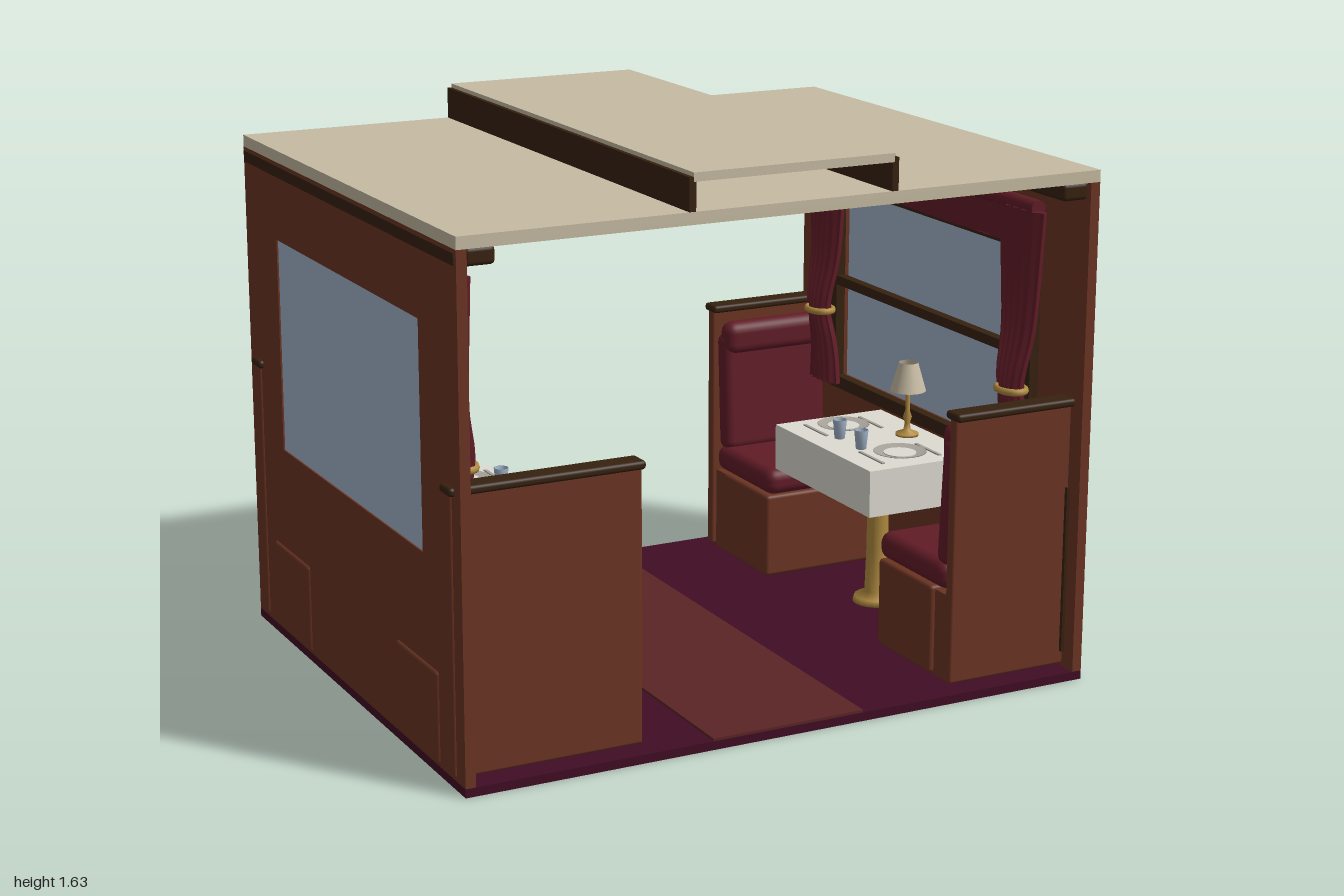
import * as THREE from 'three';
import { RoundedBoxGeometry } from 'three/addons/geometries/RoundedBoxGeometry.js';

const mat = (name, color, side = THREE.FrontSide) => {
  const m = new THREE.MeshStandardMaterial({ color, side });
  m.name = name;
  return m;
};

export function createModel() {
  const wood = mat('mahogany', 0x6b3422);
  const dark = mat('darkWood', 0x36210f);
  const cream = mat('cream', 0xc6baa2, THREE.DoubleSide);
  const carpet = mat('carpet', 0x400d24);
  const rug = mat('aisleRunner', 0x5a2425);
  const maroon = mat('maroonFabric', 0x611c27);
  const glass = mat('glass', 0xa3b5cc, THREE.DoubleSide);
  const linen = mat('linen', 0xdedbd2);
  const brass = mat('brass', 0xb08a40);
  const silver = mat('silver', 0xa8a49c, THREE.DoubleSide);

  const model = new THREE.Group();
  model.name = 'diningCarriage';

  const add = (name, geo, m, x = 0, y = 0, z = 0, parent = model) => {
    const mesh = new THREE.Mesh(geo, m);
    mesh.name = name;
    mesh.position.set(x, y, z);
    parent.add(mesh);
    return mesh;
  };
  // box given by its limits, rounded when r > 0
  const box = (name, m, x0, x1, y0, y1, z0, z1, r = 0, parent = model) => {
    const w = Math.abs(x1 - x0), h = y1 - y0, d = Math.abs(z1 - z0);
    const geo = r ? new RoundedBoxGeometry(w, h, d, 3, r) : new THREE.BoxGeometry(w, h, d);
    return add(name, geo, m, (x0 + x1) / 2, (y0 + y1) / 2, (z0 + z1) / 2, parent);
  };
  const lathe = (pts, seg = 28) => new THREE.LatheGeometry(pts.map(p => new THREE.Vector2(...p)), seg);

  // pleated cloth: a flattened column with a wavy depth
  const drape = (y0, y1, width, depth, folds, shift = () => 0) => {
    const geo = new THREE.CylinderGeometry(1, 1, 1, 64, 20);
    const p = geo.attributes.position;
    for (let i = 0; i < p.count; i++) {
      const t = p.getY(i) + 0.5, z = p.getZ(i);
      p.setXYZ(i,
        depth * p.getX(i) + 0.007 * Math.sin(z * folds) + shift(t),
        y0 + (y1 - y0) * t,
        width(t) * z);
    }
    geo.computeVertexNormals();
    return geo;
  };

  // floor and roof
  box('floor', carpet, -0.985, 0.985, 0, 0.026, -0.81, 0.81);
  box('aisleRunner', rug, -0.24, 0.24, 0.026, 0.034, -0.81, 0.81);
  box('roof', cream, -0.985, 0.985, 1.49, 1.525, -0.81, 0.81);
  box('raisedRoof', cream, -0.307, 0.307, 1.605, 1.63, -0.81, 0.81);
  for (const s of [-1, 1])
    box('raisedRoofSide', dark, s * 0.3, s * 0.32, 1.525, 1.618, -0.81, 0.81);

  // ceiling lamp under the raised roof
  add('ceilingLampBowl', lathe([[0, 1.53], [0.04, 1.533], [0.075, 1.545], [0.095, 1.562], [0.103, 1.584]], 32), silver);
  add('ceilingLampRim', new THREE.CylinderGeometry(0.115, 0.108, 0.014, 32), brass, 0, 1.591);
  add('ceilingLampMount', new THREE.CylinderGeometry(0.06, 0.06, 0.012, 24), brass, 0, 1.602);

  // side wall with a window opening
  const rect = (S, a, b, c, d) => {
    const s = new S();
    s.moveTo(a, c); s.lineTo(b, c); s.lineTo(b, d); s.lineTo(a, d); s.closePath();
    return s;
  };
  const wallShape = rect(THREE.Shape, -0.81, 0.81, 0.026, 1.49);
  wallShape.holes.push(rect(THREE.Path, -0.545, 0.545, 0.61, 1.255));
  const wallGeo = new THREE.ExtrudeGeometry(wallShape, { depth: 0.03, bevelEnabled: false });
  wallGeo.rotateY(Math.PI / 2);

  const plateGeo = lathe([[0, 0.004], [0.05, 0.004], [0.08, 0.012], [0.082, 0.01], [0.05, 0], [0, 0]]);
  const cupGeo = lathe([[0, 0], [0.016, 0], [0.022, 0.06], [0.019, 0.06], [0.014, 0.008], [0, 0.008]], 18);
  const shadeGeo = lathe([[0.056, 0.145], [0.05, 0.165], [0.034, 0.22], [0.03, 0.235]], 24);
  const lampGeo = lathe([[0, 0], [0.036, 0], [0.036, 0.008], [0.012, 0.018], [0.008, 0.04], [0.014, 0.06], [0.007, 0.08], [0.006, 0.19], [0, 0.19]], 20);
  const legGeo = lathe([[0, 0.026], [0.075, 0.026], [0.07, 0.045], [0.038, 0.06], [0.034, 0.2], [0.034, 0.38], [0.045, 0.42], [0.045, 0.54], [0, 0.54]], 20);

  // one place setting; f is the side of the table (+1 or -1 in z)
  const placeSetting = (x, f, s, y, parent) => {
    add('plate', plateGeo, silver, x, y, f * 0.17, parent);
    add('plateCentre', new THREE.CylinderGeometry(0.05, 0.05, 0.004, 24), linen, x, y + 0.005, f * 0.17, parent);
    for (const k of [-1, 1])
      box('cutlery', silver, x + k * 0.1 - 0.005, x + k * 0.1 + 0.005, y, y + 0.004, f * 0.1, f * 0.24, 0, parent);
    add('drinkingGlass', cupGeo, glass, x - s * 0.075, y, f * 0.065, parent);
  };

  // each side: wall, window, curtains and a booth reaching in to x = inner
  const side = (s, inner, settings) => {
    const g = new THREE.Group();
    g.name = s > 0 ? 'leftBooth' : 'rightBooth';
    model.add(g);
    const b = (name, m, x0, x1, y0, y1, z0, z1, r) => box(name, m, s * x0, s * x1, y0, y1, z0, z1, r, g);

    add('sideWall', wallGeo, wood, s > 0 ? 0.955 : -0.985, 0, 0, g);
    b('windowGlass', glass, 0.972, 0.98, 0.61, 1.255, -0.545, 0.545);
    b('outerTrim', dark, 0.985, 0.989, 1.447, 1.48, -0.8, 0.8);
    b('cornice', dark, 0.87, 0.955, 1.44, 1.49, -0.8, 0.8, 0.012);

    // inner window frame
    for (const [y0, y1] of [[0.575, 0.615], [0.92, 0.95], [1.245, 1.285]])
      b('windowRail', dark, 0.925, 0.956, y0, y1, -0.58, 0.58);
    for (const f of [-1, 1])
      b('windowStile', dark, 0.925, 0.956, 0.575, 1.285, f * 0.54, f * 0.58);

    // valance and tied curtains
    add('valance', drape(1.27, 1.4, () => 0.62, 0.017, 60), maroon, s * 0.9, 0, 0, g);
    add('curtainRod', new THREE.CylinderGeometry(0.024, 0.024, 1.26, 16).rotateX(Math.PI / 2), maroon, s * 0.903, 1.388, 0, g);
    for (const f of [-1, 1]) {
      const width = t => 0.05 + 0.06 * Math.pow(Math.abs(t - 0.3) / 0.7, 0.8);
      const shift = t => -s * 0.026 * Math.exp(-Math.pow((t - 0.34) / 0.14, 2));
      add('curtain', drape(0.6, 1.38, width, 0.02, 16, shift), maroon, s * 0.897, 0, f * 0.56, g);
      const tie = add('curtainTie', new THREE.TorusGeometry(0.052, 0.011, 8, 24).rotateX(Math.PI / 2), brass, s * 0.875, 0.84, f * 0.56, g);
      tie.scale.x = 0.75;

      // partition behind each seat
      b('partition', wood, 0.992, inner + 0.004, 0.034, 0.835, f * 0.718, f * 0.752, 0.008);
      b('partitionCap', dark, 1, inner, 0.825, 0.85, f * 0.7, f * 0.77, 0.01);
      b('partitionTrim', dark, 0.945, 0.955, 0.075, 0.58, f * 0.75, f * 0.763);

      // bench
      b('seatBase', wood, 0.993, inner + 0.004, 0.03, 0.3, f * 0.345, f * 0.64, 0.012);
      b('seatPlinth', wood, 0.95, inner + 0.02, 0.026, 0.29, f * 0.63, f * 0.72);
      b('seatCushion', maroon, 0.95, inner + 0.005, 0.3, 0.385, f * 0.335, f * 0.7, 0.035);
      const back = b('seatBack', maroon, 0.95, inner + 0.015, 0.37, 0.76, f * 0.645, f * 0.715, 0.03);
      back.rotation.x = f * 0.06;
      b('headRoll', maroon, 0.945, inner + 0.02, 0.69, 0.8, f * 0.64, f * 0.715, 0.036);
    }

    // table with cloth
    const y = 0.555, edge = inner + 0.003;
    b('tablecloth', linen, 0.95, edge, y - 0.02, y, -0.29, 0.29);
    b('clothEnd', linen, edge + 0.008, edge, y - 0.145, y - 0.02, -0.29, 0.29);
    for (const f of [-1, 1])
      b('clothSide', linen, 0.95, edge, y - 0.145, y - 0.02, f * 0.282, f * 0.29);
    add('tableLeg', legGeo, brass, s * (inner + 0.98) / 2, 0, 0, g);

    // table lamp and settings
    add('tableLampStand', lampGeo, brass, s * 0.87, y, 0, g);
    add('tableLampShade', shadeGeo, cream, s * 0.87, y, 0, g);
    for (const x of settings)
      for (const f of [-1, 1]) placeSetting(s * x, f, s, y, g);
  };
  side(-1, 0.425, [0.56, 0.8]);
  side(1, 0.56, [0.74]);

  return model;
}
